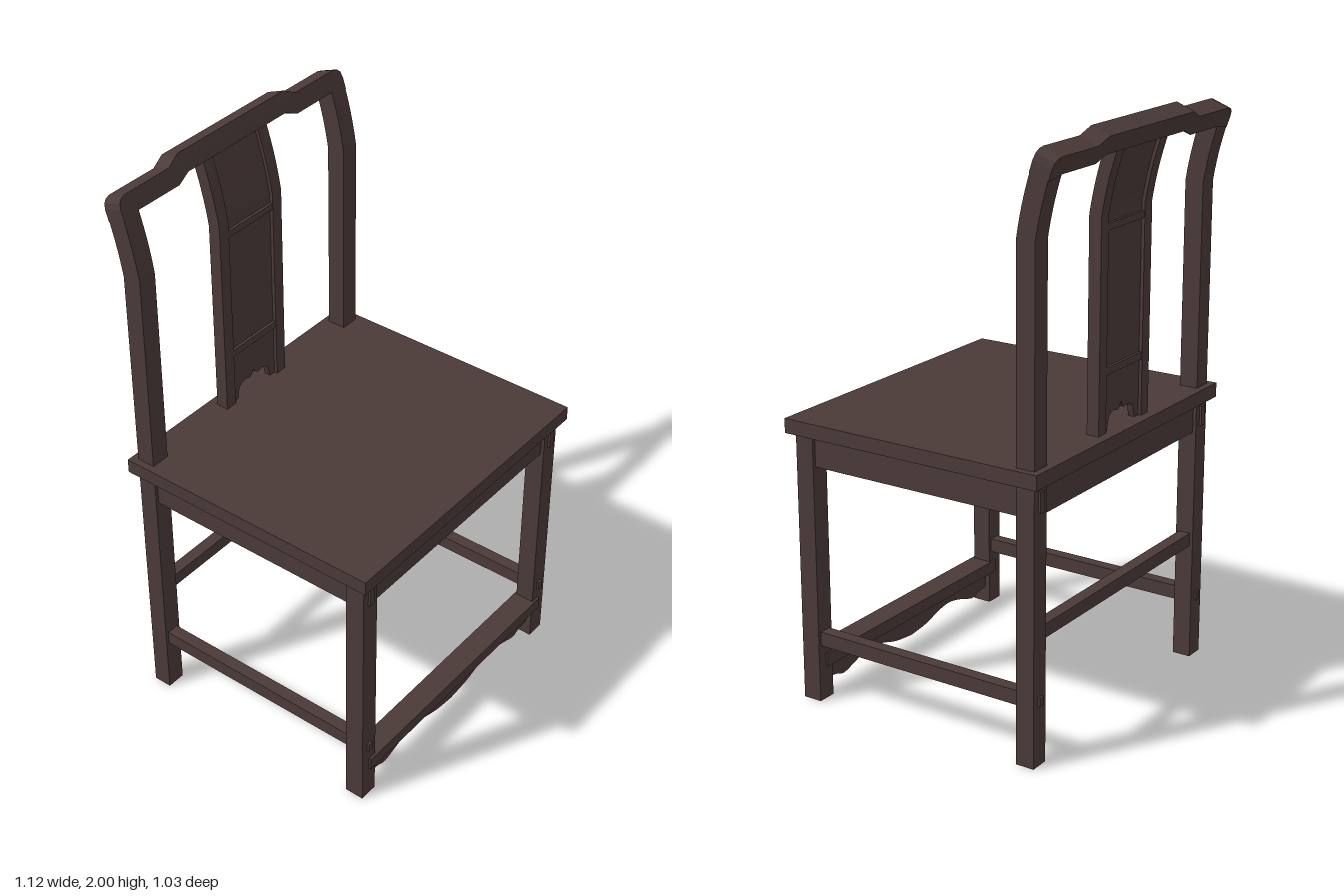
import * as THREE from 'three';

const darkWood = new THREE.MeshStandardMaterial({ color: 0x4a3a38 });
darkWood.name = 'darkWood';

const FRONT = -0.37;   // front face of the back posts
const SEAM = 1.705;    // height where the back starts to lean
const THICK = 0.066;   // thickness of the legs and posts

// Lean everything above the seam backwards along a gentle arc.
function bend(geometry) {
  const geo = geometry.index ? geometry.toNonIndexed() : geometry;
  const p = geo.attributes.position;
  const a0 = 0.15, k = 0.77;
  for (let i = 0; i < p.count; i++) {
    const d = p.getZ(i), s = p.getY(i) - SEAM;
    let y = p.getY(i), z = FRONT, angle = 0;
    if (s > -1e-5) {
      angle = s < 1e-4 ? a0 / 2 : a0 + k * s;
      y = SEAM + (Math.sin(a0 + k * s) - Math.sin(a0)) / k;
      z = FRONT - (Math.cos(a0) - Math.cos(a0 + k * s)) / k;
    }
    p.setXYZ(i, p.getX(i), y + d * Math.sin(angle), z + d * Math.cos(angle));
  }
  geo.computeVertexNormals();
  return geo;
}

// Upright bar from y0 to y1 (crossing the seam), d0..d1 behind the front plane.
function bentBar(x0, x1, y0, y1, d0, d1) {
  const n = 8;
  const geo = new THREE.BoxGeometry(x1 - x0, 1, d1 - d0, 1, n, 1);
  geo.translate((x0 + x1) / 2, 0.5, -(d0 + d1) / 2);
  const p = geo.attributes.position;
  for (let i = 0; i < p.count; i++) {
    const row = Math.round(p.getY(i) * n);
    p.setY(i, row === 0 ? y0 : SEAM + (y1 - SEAM) * (row - 1) / (n - 1));
  }
  return bend(geo);
}

// Box given by its limits.
function bar(x0, x1, y0, y1, z0, z1) {
  const geo = new THREE.BoxGeometry(x1 - x0, y1 - y0, z1 - z0);
  return geo.translate((x0 + x1) / 2, (y0 + y1) / 2, (z0 + z1) / 2);
}

// Symmetric outline: the right half is listed and mirrored.
function mirroredPlate(half, depth, z) {
  const left = half.map(([x, y]) => [-x, y]).reverse();
  const pts = [...half, ...left].map(([x, y]) => new THREE.Vector2(x, y));
  const geo = new THREE.ExtrudeGeometry(new THREE.Shape(pts), { depth, bevelEnabled: false });
  return geo.translate(0, 0, z);
}

export function createModel() {
  const model = new THREE.Group();
  model.name = 'chair';
  const add = (name, geo, parent = model) => {
    const mesh = new THREE.Mesh(geo, darkWood);
    mesh.name = name;
    parent.add(mesh);
  };

  // Seat: frame around a thinner panel
  const seat = new THREE.Group();
  seat.name = 'seat';
  model.add(seat);
  const outline = new THREE.Shape([[-0.56, -0.46], [0.56, -0.46], [0.56, 0.515], [-0.56, 0.515]]
    .map(([x, z]) => new THREE.Vector2(x, -z)));
  outline.holes.push(new THREE.Path([[-0.45, -0.36], [0.45, -0.36], [0.45, 0.41], [-0.45, 0.41]]
    .map(([x, z]) => new THREE.Vector2(x, -z))));
  const frame = new THREE.ExtrudeGeometry(outline, { depth: 0.05, bevelEnabled: false });
  add('seatFrame', frame.rotateX(-Math.PI / 2).translate(0, 0.945, 0), seat);
  add('seatPanel', bar(-0.45, 0.45, 0.97, 0.995, -0.36, 0.41), seat);

  // Legs, side rails and their through tenons
  for (const s of [-1, 1]) {
    const side = s > 0 ? 'left' : 'right';
    const [x0, x1] = s > 0 ? [0.467, 0.535] : [-0.535, -0.467];
    const cx = s * 0.501;
    add(side + 'FrontLeg', bar(x0, x1, 0, 0.95, 0.422, 0.49));
    add(side + 'BackPost', bentBar(x0, x1, 0, SEAM + 0.22, 0, THICK));
    add(side + 'SideApron', bar(cx - 0.022, cx + 0.022, 0.835, 0.945, -0.38, 0.43));
    add(side + 'SideStretcher', bar(cx - 0.022, cx + 0.022, 0.2, 0.25, -0.38, 0.43));
    for (const [y0, y1] of [[0.855, 0.925], [0.21, 0.24]]) {
      add(side + 'FrontTenon', bar(cx - 0.011, cx + 0.011, y0, y1, 0.47, 0.498));
      add(side + 'BackTenon', bar(cx - 0.011, cx + 0.011, y0, y1, -0.444, -0.42));
    }
  }

  // Front and back rails
  add('frontApron', bar(-0.47, 0.47, 0.835, 0.945, 0.435, 0.478));
  add('backApron', bar(-0.47, 0.47, 0.835, 0.945, -0.424, -0.381));
  add('backStretcher', bar(-0.47, 0.47, 0.418, 0.465, -0.424, -0.381));
  add('footRail', bar(-0.5, 0.5, 0.118, 0.163, 0.414, 0.499));

  // Wavy skirt below the foot rail
  const wave = new THREE.SplineCurve([[0, 0.036], [0.09, 0.047], [0.17, 0.07], [0.235, 0.078],
    [0.3, 0.066], [0.38, 0.042], [0.42, 0.052], [0.468, 0.06]]
    .map(([x, y]) => new THREE.Vector2(x, y))).getPoints(28).slice(1).map(v => [v.x, v.y]);
  add('footSkirt', mirroredPlate([[0, 0.036], ...wave, [0.468, 0.12]], 0.03, 0.44));

  // Crest rail, raised in the middle, following the lean of the posts
  const crest = [[0, 0.237], [0.235, 0.237], [0.285, 0.214], [0.467, 0.214], [0.535, 0.2],
    [0.535, 0.24], [0.53, 0.262], [0.518, 0.274], [0.5, 0.279], [0.305, 0.279], [0.255, 0.305], [0, 0.305]]
    .map(([x, y]) => [x, y + SEAM]).filter(([x]) => x > 0);
  add('crestRail', bend(mirroredPlate(crest, THICK + 0.004, -THICK - 0.002)));

  // Back splat: two stiles, two rails, panels and a scalloped foot
  const splat = new THREE.Group();
  splat.name = 'backSplat';
  model.add(splat);
  const top = SEAM + 0.245;
  for (const [x0, x1] of [[-0.153, -0.109], [0.109, 0.153]]) {
    add('splatStile', bentBar(x0, x1, 0.98, top, 0.012, 0.056), splat);
  }
  const zs = [FRONT - 0.054, FRONT - 0.014];
  add('splatUpperPanel', bentBar(-0.11, 0.11, 1.66, top, 0.024, 0.044), splat);
  add('splatMiddlePanel', bar(-0.11, 0.11, 1.2, 1.66, FRONT - 0.044, FRONT - 0.024), splat);
  add('splatUpperRail', bar(-0.11, 0.11, 1.65, 1.673, ...zs), splat);
  add('splatLowerRail', bar(-0.11, 0.11, 1.185, 1.21, ...zs), splat);
  const foot = [[0.009, 1.055], [0.02, 1.047], [0.045, 1.053], [0.065, 1.046], [0.075, 1.036],
    [0.08, 1.015], [0.088, 0.985], [0.11, 0.985], [0.11, 1.19]];
  add('splatFoot', mirroredPlate([[0.001, 1.07], ...foot], 0.022, FRONT - 0.045), splat);

  return model;
}
